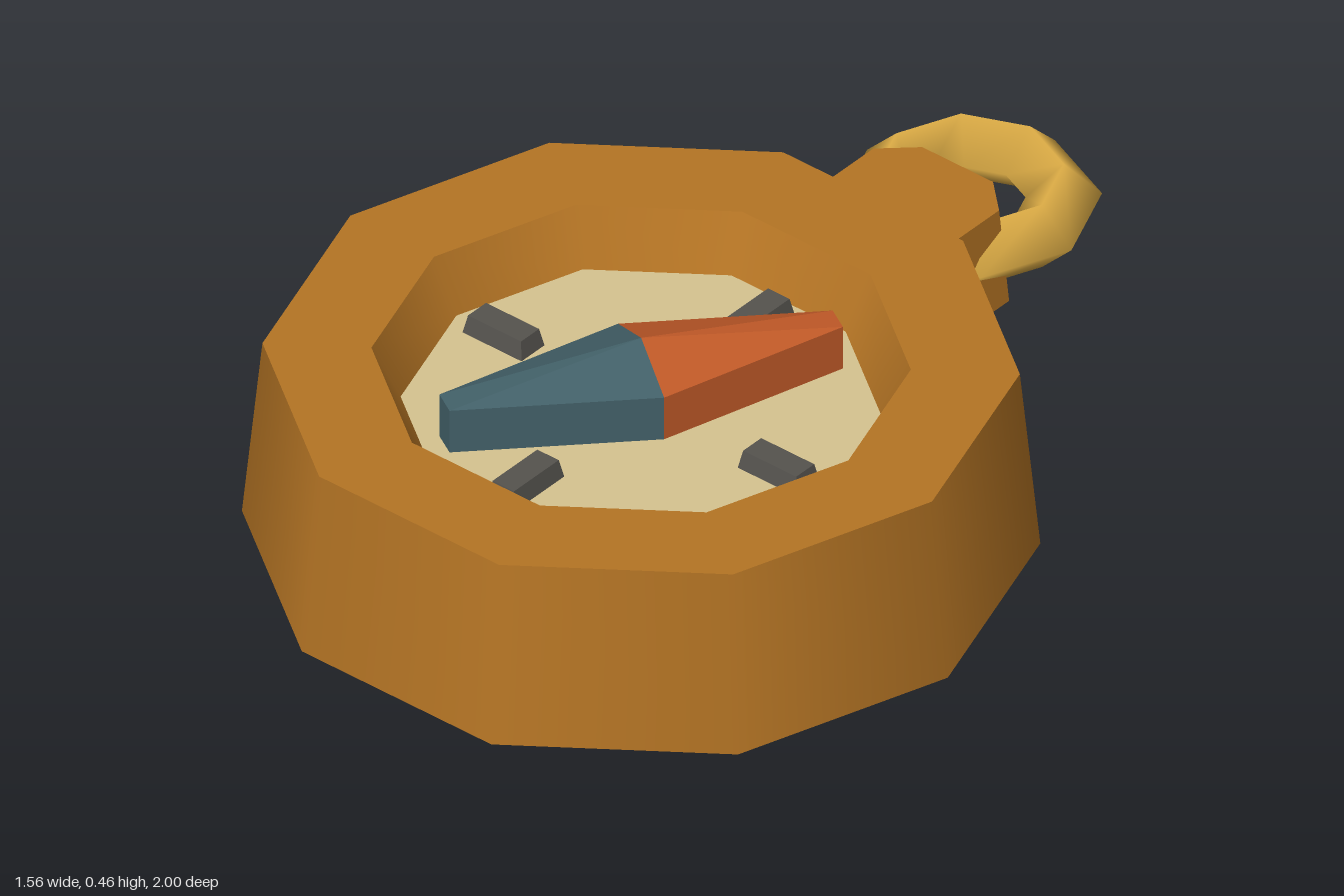
import * as THREE from 'three';

const CENTER_Z = 0.255;
const TOP = 0.405;
const FLOOR = 0.29;

const mat = (name, color) => {
  const m = new THREE.MeshStandardMaterial({ color });
  m.name = name;
  return m;
};

function add(parent, name, geometry, material) {
  const mesh = new THREE.Mesh(geometry, material);
  mesh.name = name;
  parent.add(mesh);
  return mesh;
}

// Ten-sided band between two [radius, height] points, smooth around, sharp at its rims
function band(a, b) {
  const pts = [a, b].map(([r, y]) => new THREE.Vector2(r, y));
  return new THREE.LatheGeometry(pts, 10, Math.PI / 2);
}

// Half of the needle, pointing along -z, with a raised centre and upright walls
function needleHalf() {
  const outline = [[0.131, 0], [0.029, -0.408], [-0.029, -0.408], [-0.131, 0]];
  const upper = outline.map(([x, z]) => [x, 0.4, z]);
  const lower = outline.map(([x, z]) => [x, 0.3, z]);
  const peak = [0, 0.455, 0];
  const p = [];
  for (let i = 0; i < 3; i++) {
    p.push(...peak, ...upper[i], ...upper[i + 1]);
    p.push(...lower[i], ...lower[i + 1], ...upper[i + 1]);
    p.push(...lower[i], ...upper[i + 1], ...upper[i]);
  }
  p.push(...lower[0], ...lower[3], ...lower[2], ...lower[0], ...lower[2], ...lower[1]);
  const g = new THREE.BufferGeometry();
  g.setAttribute('position', new THREE.Float32BufferAttribute(p, 3));
  g.computeVertexNormals();
  return g;
}

// Chamfered tab that widens slightly towards its underside
function tabGeometry() {
  const shape = new THREE.Shape([
    [-0.16, 0.42], [0.16, 0.42], [0.16, 0.64], [0.09, 0.705], [-0.09, 0.705], [-0.16, 0.64],
  ].map(([x, y]) => new THREE.Vector2(x, y)));
  const g = new THREE.ExtrudeGeometry(shape, { depth: 0.22, bevelEnabled: false });
  g.rotateX(-Math.PI / 2).translate(0, 0.12, 0);
  const pos = g.attributes.position;
  for (let i = 0; i < pos.count; i++) {
    const t = (0.34 - pos.getY(i)) / 0.22;
    pos.setX(i, pos.getX(i) * (1 + 0.08 * t));
    pos.setZ(i, pos.getZ(i) - 0.015 * t);
  }
  g.computeVertexNormals();
  return g;
}

// Small block with a slightly narrower top
function markerGeometry() {
  const g = new THREE.BoxGeometry(0.07, 0.04, 0.15).toNonIndexed();
  const pos = g.attributes.position;
  for (let i = 0; i < pos.count; i++) {
    if (pos.getY(i) < 0) continue;
    pos.setX(i, pos.getX(i) * 0.78);
    pos.setZ(i, pos.getZ(i) * 0.9);
  }
  g.computeVertexNormals();
  return g;
}

export function createModel() {
  const model = new THREE.Group();
  model.name = 'compass';
  const bronze = mat('bronze', 0xb47424);
  const gold = mat('gold', 0xdfae46);
  const cream = mat('cream', 0xd6c38f);
  const slate = mat('slate blue', 0x426068);
  const rust = mat('rust red', 0xc25a28);
  const charcoal = mat('charcoal', 0x55534e);

  // Case: underside, outer wall, rim and sloping inner wall
  const housing = new THREE.Group();
  housing.name = 'case';
  housing.position.z = CENTER_Z;
  model.add(housing);
  const profile = [[0, 0], [0.78, 0], [0.74, TOP], [0.527, TOP], [0.47, FLOOR]];
  ['underside', 'outerWall', 'rim', 'innerWall'].forEach((name, i) =>
    add(housing, name, band(profile[i], profile[i + 1]), bronze));
  add(housing, 'dial', band([0.47, FLOOR], [0, FLOOR]), cream);

  // Four direction markers
  for (let i = 0; i < 4; i++) {
    const a = i * Math.PI / 2;
    const marker = add(housing, 'marker', markerGeometry(), charcoal);
    marker.position.set(Math.sin(a) * 0.35, FLOOR + 0.02, Math.cos(a) * 0.35);
    marker.rotation.y = a;
  }

  // Two-coloured needle
  const needle = new THREE.Group();
  needle.name = 'needle';
  needle.rotation.y = -Math.PI / 6;
  housing.add(needle);
  add(needle, 'northHalf', needleHalf(), rust);
  add(needle, 'southHalf', needleHalf(), slate).rotation.y = Math.PI;

  // Hanging tab and ring
  add(model, 'tab', tabGeometry(), bronze);
  const ring = add(model, 'ring', new THREE.TorusGeometry(0.185, 0.075, 4, 8), gold);
  ring.rotation.x = Math.PI / 2;
  ring.position.set(0, 0.235, -0.74);

  return model;
}
